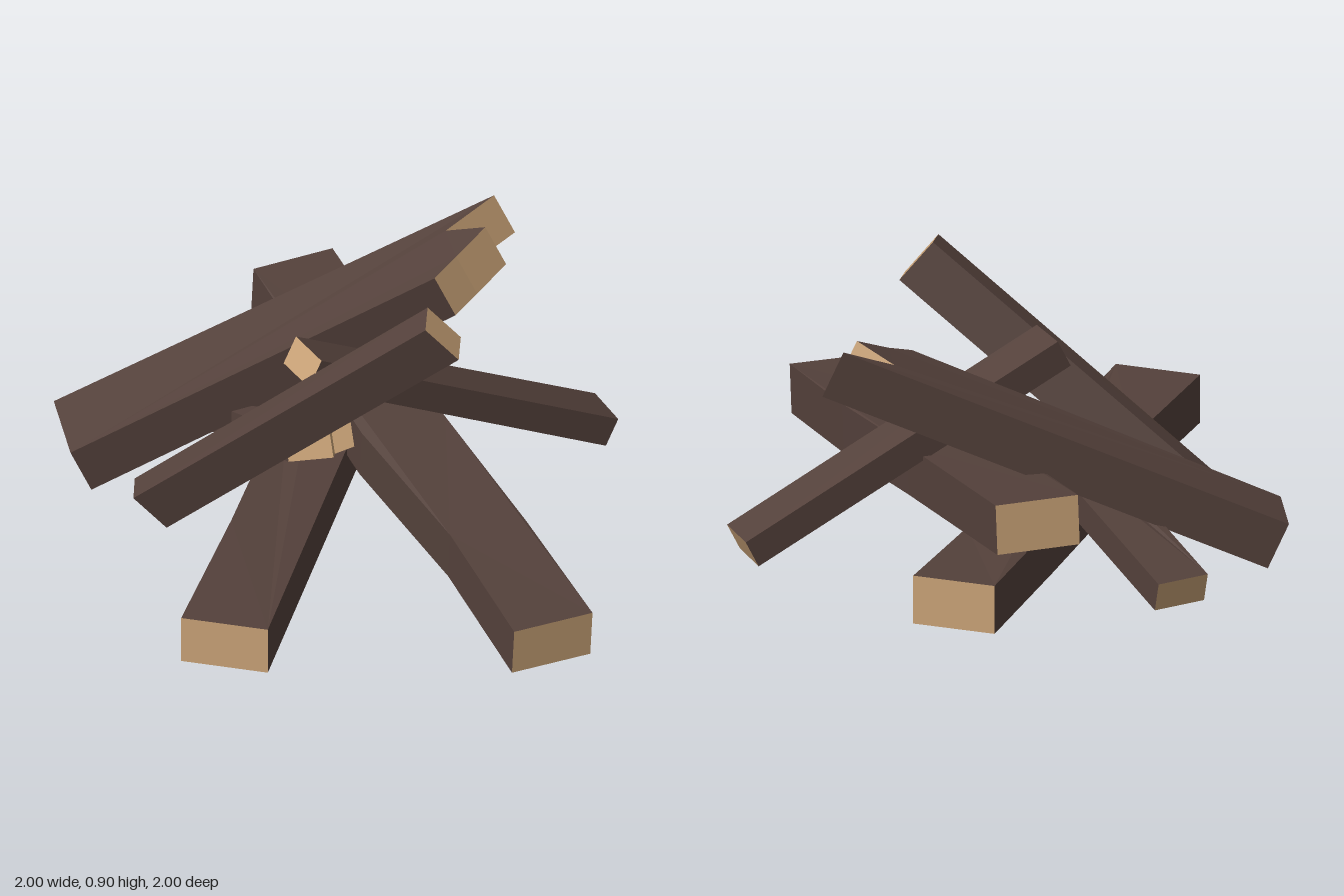
import * as THREE from 'three';

const bark = new THREE.MeshStandardMaterial({ color: 0x54413b });
bark.name = 'dark timber';
const cut = new THREE.MeshStandardMaterial({ color: 0xcba478 });
cut.name = 'cut wood';

// A timber is a top outline swept by its thickness vector.
// right / left: top edges from start to end; jag: splinter points between them at the end.
function timber(name, right, left, jag, thickness) {
  const top = [...right, ...jag, ...[...left].reverse()].map(p => new THREE.Vector3(...p));
  const drop = new THREE.Vector3(...thickness);
  const low = top.map(p => p.clone().add(drop));
  const dark = [], light = [];
  const tri = (out, ...pts) => pts.forEach(p => out.push(p.x, p.y, p.z));

  // Upper and lower faces
  const flat = top.map(p => new THREE.Vector2(p.x, -p.z));
  for (let [a, b, c] of THREE.ShapeUtils.triangulateShape(flat, [])) {
    if (THREE.ShapeUtils.area([flat[a], flat[b], flat[c]]) < 0) [b, c] = [c, b];
    tri(dark, top[a], top[b], top[c]);
    tri(dark, low[a], low[c], low[b]);
  }

  // Long sides are dark, both ends show bare wood
  const n = top.length;
  for (let i = 0; i < n; i++) {
    const j = (i + 1) % n;
    const isEnd = i === n - 1 || (i >= right.length - 1 && i < right.length + jag.length);
    const out = isEnd ? light : dark;
    tri(out, low[i], low[j], top[j]);
    tri(out, low[i], top[j], top[i]);
  }

  const geo = new THREE.BufferGeometry();
  geo.setAttribute('position', new THREE.Float32BufferAttribute([...dark, ...light], 3));
  geo.addGroup(0, dark.length / 3, 0);
  geo.addGroup(dark.length / 3, light.length / 3, 1);
  geo.computeVertexNormals();
  const mesh = new THREE.Mesh(geo, [bark, cut]);
  mesh.name = name;
  return mesh;
}

export function createModel() {
  const group = new THREE.Group();
  group.name = 'collapsedTimbers';
  group.add(
    // Thick beam flat on the ground
    timber('groundBeam',
      [[0, 0.185, 1], [-0.005, 0.185, 0.3], [-0.015, 0.17, -0.5], [-0.005, 0.185, -1]],
      [[-0.29, 0.185, 1], [-0.27, 0.185, 0.4], [-0.27, 0.17, -0.4], [-0.285, 0.185, -1]],
      [], [0, -0.167, 0]),
    // Thick beam resting across it
    timber('crossBeam',
      [[1, 0.185, 0.65], [0.68, 0.235, 0.25], [0.3, 0.3, -0.19], [-0.25, 0.42, -0.89]],
      [[0.78, 0.185, 0.82], [0.46, 0.235, 0.39], [0.06, 0.3, -0.03], [-0.47, 0.42, -0.71]],
      [], [-0.01, -0.167, -0.01]),
    // Thick beam with a splintered upper end
    timber('brokenBeam',
      [[-0.88, 0.165, 0.11], [0.22, 0.71, -0.37]],
      [[-1, 0.18, -0.15], [0.33, 0.82, -0.73]],
      [[0.27, 0.745, -0.46], [0.34, 0.8, -0.57], [0.2, 0.745, -0.6]],
      [0.063, -0.152, -0.028]),
    // Thin planks leaning on the heap
    timber('steepPlank',
      [[-0.63, 0.13, 0.27], [0.33, 0.89, 0.2]],
      [[-0.65, 0.14, 0.17], [0.31, 0.905, 0.09]],
      [], [0.1, -0.128, -0.045]),
    timber('backPlank',
      [[-0.04, 0.655, 0.11], [0.78, 0.11, -0.59]],
      [[-0.155, 0.655, -0.01], [0.67, 0.11, -0.72]],
      [], [-0.034, -0.09, 0.03]),
    timber('brokenPlank',
      [[-0.84, 0.11, -0.49], [-0.17, 0.345, 0.09]],
      [[-0.72, 0.11, -0.63], [0.03, 0.385, 0.01]],
      [[-0.02, 0.385, 0.09], [-0.03, 0.36, 0.03]],
      [0.02, -0.1, 0.02]),
  );
  return group;
}
